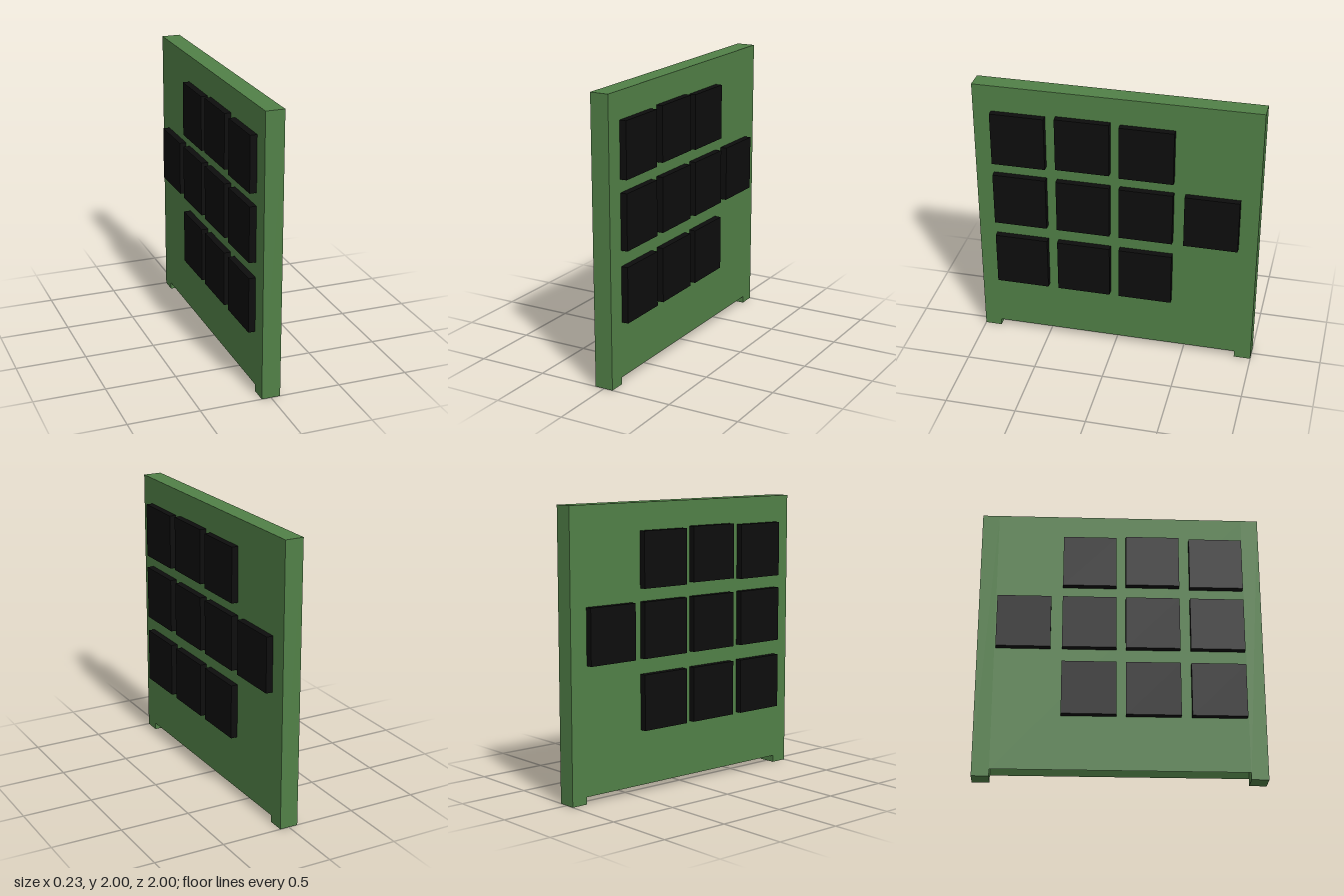
import * as THREE from 'three';

const HALF = 0.066;      // half thickness of the board
const CHIP_OUT = 0.114;  // outer face of the tiles
const FOOT = 0.12;       // depth of each foot along z
const GAP = 0.05;        // clearance under the board

export function createModel() {
  const group = new THREE.Group();
  const green = new THREE.MeshStandardMaterial({ color: 0x518047, flatShading: true });
  const black = new THREE.MeshStandardMaterial({ color: 0x0d0d0d, flatShading: true });

  const add = (name, geometry, material, x, y, z) => {
    const mesh = new THREE.Mesh(geometry, material);
    mesh.name = name;
    mesh.position.set(x, y, z);
    group.add(mesh);
  };

  // Middle of the board: a section with a V groove underneath, run along z
  const section = new THREE.Shape([
    [-HALF, GAP], [0, 0.16], [HALF, GAP], [HALF, 2], [-HALF, 2],
  ].map(([x, y]) => new THREE.Vector2(x, y)));
  const length = 2 - 2 * FOOT;
  add('boardPanel', new THREE.ExtrudeGeometry(section, { depth: length, bevelEnabled: false }),
    green, 0, 0, -length / 2);

  // Full-height ends whose lower corners form the feet
  for (const s of [1, -1]) {
    add(s > 0 ? 'frontEnd' : 'backEnd', new THREE.BoxGeometry(2 * HALF, 2, FOOT),
      green, 0, 1, s * (1 - FOOT / 2));
  }

  // Tiles, mirrored on both faces: [y centre, z centres]
  const columns = [0.68, 0.226, -0.22, -0.68];
  const rows = [
    [0.635, columns.slice(0, 3)],
    [1.135, columns],
    [1.615, columns.slice(0, 3)],
  ];
  const depth = CHIP_OUT - HALF;
  const tile = new THREE.BoxGeometry(depth, 0.39, 0.38);
  for (const side of [1, -1]) {
    rows.forEach(([y, zs], r) => zs.forEach((z, c) => {
      const lift = r === 2 && c === 1 ? 0.01 : 0; // one tile sits slightly higher
      add(side > 0 ? 'leftTile' : 'rightTile', tile, black, side * (HALF + depth / 2), y + lift, z);
    }));
  }
  return group;
}
